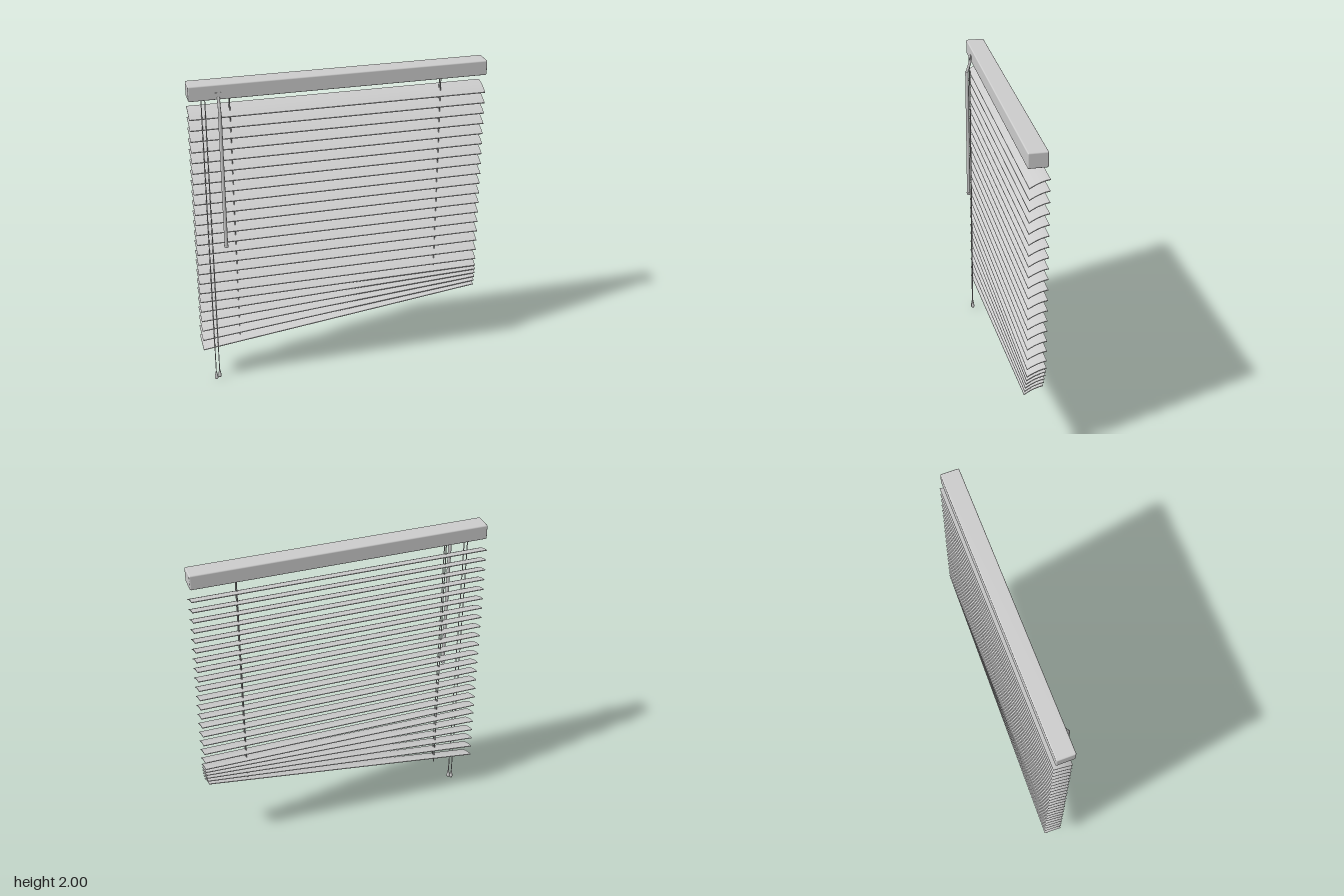
import * as THREE from 'three';
import { RoundedBoxGeometry } from 'three/addons/geometries/RoundedBoxGeometry.js';
import { toCreasedNormals } from 'three/addons/utils/BufferGeometryUtils.js';

const material = new THREE.MeshStandardMaterial({ color: 0xcccccc });
const WIDTH = 1.81;
const LEFT = -WIDTH / 2;

function add(parent, name, geometry, x = 0, y = 0, z = 0) {
  const mesh = new THREE.Mesh(geometry, material);
  mesh.name = name;
  mesh.position.set(x, y, z);
  parent.add(mesh);
  return mesh;
}

// Straight round rod between two points
function rod(parent, name, from, to, radius, sides = 8) {
  const a = new THREE.Vector3(...from);
  const b = new THREE.Vector3(...to);
  const dir = b.clone().sub(a);
  const mesh = add(parent, name, new THREE.CylinderGeometry(radius, radius, dir.length(), sides));
  mesh.position.copy(a).add(b).multiplyScalar(0.5);
  mesh.quaternion.setFromUnitVectors(new THREE.Vector3(0, 1, 0), dir.normalize());
  return mesh;
}

// Thin arched strip, low at the front and flattening to the back, starting at x = 0
function slatGeometry() {
  const steps = 10;
  const thickness = 0.005;
  const bottom = [];
  for (let i = 0; i <= steps; i++) {
    const t = i / steps;
    bottom.push(new THREE.Vector2(-0.035 + 0.115 * t, -0.025 + 0.075 * t - 0.03 * t * t));
  }
  const top = bottom.map((p) => new THREE.Vector2(p.x, p.y + thickness)).reverse();
  const geometry = new THREE.ExtrudeGeometry(new THREE.Shape([...bottom, ...top]), {
    depth: WIDTH, bevelEnabled: false, steps: 1,
  });
  geometry.rotateY(Math.PI / 2);
  return toCreasedNormals(geometry, 0.6);
}

export function createModel() {
  const group = new THREE.Group();
  group.name = 'venetianBlind';

  // Head rail
  add(group, 'headRail', new RoundedBoxGeometry(WIDTH, 0.092, 0.115, 2, 0.008), 0, 1.954, -0.012);

  // Level slats, then slats that fan down towards the lower corner
  const slats = new THREE.Group();
  slats.name = 'slats';
  group.add(slats);
  const geometry = slatGeometry();
  const level = 18;
  const fanned = 6;
  for (let i = 0; i < level; i++) {
    add(slats, 'slat', geometry, LEFT, 1.815 - i * 0.0679, 0);
  }
  for (let i = 0; i < fanned; i++) {
    const t = i / (fanned - 1);
    const leftY = 0.598 - 0.349 * t;
    const rightY = 0.61 - 0.13 * t;
    const slat = add(slats, 'fannedSlat', geometry, LEFT, leftY, 0);
    slat.rotation.z = Math.atan((rightY - leftY) / WIDTH);
    slat.rotation.y = -0.0075 * t;
  }

  // Ladder cords running through the slats
  for (const [x, end] of [[-0.66, 0.24], [0.63, 0.44]]) {
    for (const z of [-0.005, -0.03]) {
      rod(group, 'ladderCord', [x, 1.915, z], [x, end, z], 0.003, 6);
    }
  }

  // Lift cords with teardrop tassels
  const tassel = new THREE.LatheGeometry([
    [0, 0], [0.008, 0.001], [0.011, 0.008], [0.011, 0.016], [0.007, 0.038], [0.004, 0.054], [0, 0.056],
  ].map(([r, y]) => new THREE.Vector2(r, y)), 12);
  for (const [x, y] of [[-0.832, 0], [-0.81, 0.012]]) {
    rod(group, 'liftCord', [x, 1.915, 0.04], [x, y + 0.05, 0.04], 0.003, 6);
    add(group, 'tassel', tassel, x, y, 0.04);
  }

  // Tilt wand hanging from a hook on the rail
  const wand = new THREE.Group();
  wand.name = 'tiltWand';
  group.add(wand);
  const wx = -0.732;
  add(wand, 'wandMount', new THREE.BoxGeometry(0.032, 0.03, 0.012), wx, 1.938, 0.043);
  rod(wand, 'wandHook', [wx, 1.926, 0.046], [wx, 1.842, 0.073], 0.009, 8);
  rod(wand, 'wandRod', [wx, 1.845, 0.073], [wx, 0.975, 0.073], 0.011, 8);
  rod(wand, 'wandTip', [wx, 0.982, 0.073], [wx, 0.966, 0.073], 0.013, 8);

  return group;
}
